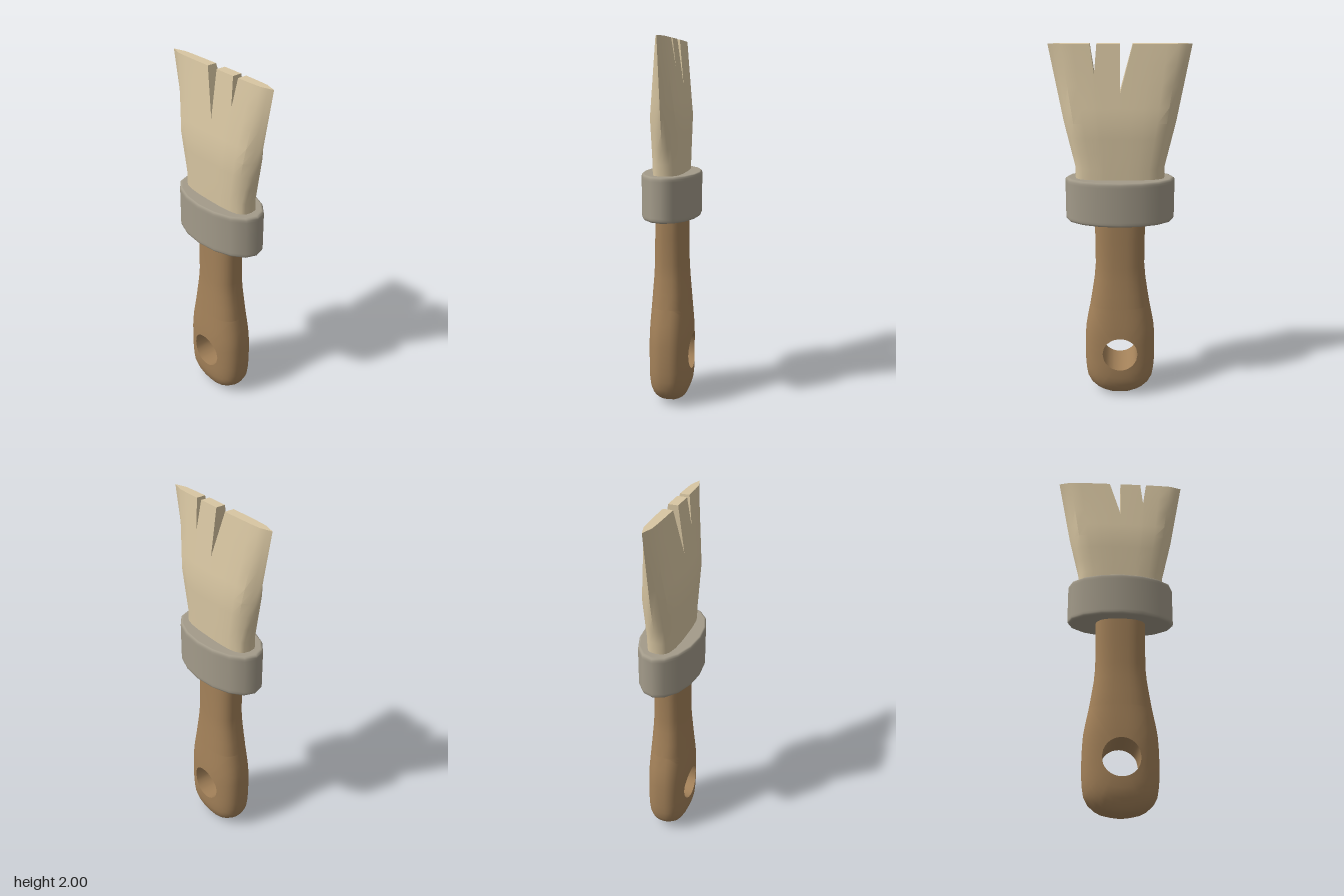
import * as THREE from 'three';
import { mergeVertices, toCreasedNormals } from 'three/addons/utils/BufferGeometryUtils.js';

const lerp = THREE.MathUtils.lerp;

// Piecewise-linear lookup: rows of [y, halfWidth, halfDepth]
function sample(table, y, col) {
  let i = 1;
  while (i < table.length - 1 && table[i][0] < y) i++;
  const a = table[i - 1], b = table[i];
  const t = THREE.MathUtils.clamp((y - a[0]) / (b[0] - a[0]), 0, 1);
  return lerp(a[col], b[col], t);
}

const superellipse = (u, n) => Math.pow(Math.max(0, 1 - Math.pow(Math.min(1, Math.abs(u)), n)), 1 / n);

// Collects quads and turns them into a geometry
class Surface {
  constructor() { this.p = []; }
  tri(a, b, c) { this.p.push(...a, ...b, ...c); }
  quad(a, b, c, d) { this.tri(a, b, c); this.tri(a, c, d); }
  // Quad given on the front, plus its mirror image on the back
  both(a, b, c, d) {
    this.quad(a, b, c, d);
    const m = (v) => [v[0], v[1], -v[2]];
    this.quad(m(d), m(c), m(b), m(a));
  }
  geometry() {
    const g = new THREE.BufferGeometry();
    g.setAttribute('position', new THREE.Float32BufferAttribute(this.p, 3));
    return g;
  }
  smooth() {
    const g = mergeVertices(this.geometry(), 1e-4);
    g.computeVertexNormals();
    return g;
  }
}

// ---- Handle: swollen grip with a round hanging hole ----
const GRIP = [
  [0, 0, 0.03], [0.006, 0.05, 0.055], [0.015, 0.1, 0.072], [0.03, 0.13, 0.085], [0.06, 0.165, 0.1],
  [0.1, 0.187, 0.113], [0.15, 0.195, 0.118], [0.2, 0.199, 0.119], [0.28, 0.2, 0.119], [0.36, 0.198, 0.119],
  [0.42, 0.194, 0.117], [0.48, 0.184, 0.113], [0.56, 0.168, 0.107], [0.64, 0.155, 0.101],
  [0.72, 0.143, 0.095], [0.8, 0.136, 0.091], [0.95, 0.137, 0.089], [1.1, 0.139, 0.088],
];
const POWER = 2.5, SPLIT = 0.56, HOLE_Y = 0.28, HOLE_R = 0.1;

function gripPoint(x, y) {
  const w = sample(GRIP, y, 1);
  const u = w > 1e-5 ? x / w : (Math.abs(x) < 1e-5 ? 0 : 1);
  return [x, y, sample(GRIP, y, 2) * superellipse(u, POWER)];
}

// Half cross-section offsets from +1 to -1, crowded toward the rounded sides
const ACROSS = Array.from({ length: 17 }, (_, i) => {
  const c = Math.cos((i / 16) * Math.PI);
  return Math.sign(c) * Math.pow(Math.abs(c), 2 / POWER);
});

function buildHandle(material) {
  const group = new THREE.Group();
  group.name = 'handle';
  const body = new Surface();

  // Upper neck, lofted section by section
  const upper = GRIP.filter((r) => r[0] >= SPLIT);
  for (let i = 0; i < upper.length - 1; i++) {
    const [y0, w0] = upper[i], [y1, w1] = upper[i + 1];
    for (let j = 0; j < ACROSS.length - 1; j++) {
      const a = ACROSS[j], b = ACROSS[j + 1];
      body.both(gripPoint(b * w0, y0), gripPoint(a * w0, y0), gripPoint(a * w1, y1), gripPoint(b * w1, y1));
    }
  }

  // Lower grip, fanned in rings from the hole rim to the outline
  const side = GRIP.filter((r) => r[0] < SPLIT);
  const topW = sample(GRIP, SPLIT, 1);
  const outline = [
    ...side.map(([y, w]) => [w, y]),
    ...ACROSS.map((u) => [u * topW, SPLIT]),
    ...side.slice(1).reverse().map(([y, w]) => [-w, y]),
  ];
  const rim = outline.map(([x, y]) => {
    const a = Math.atan2(y - HOLE_Y, x);
    return [HOLE_R * Math.cos(a), HOLE_Y + HOLE_R * Math.sin(a)];
  });
  const RINGS = 10;
  const at = (i, r) => {
    const t = Math.sin((r / RINGS) * Math.PI / 2);
    return gripPoint(lerp(rim[i][0], outline[i][0], t), lerp(rim[i][1], outline[i][1], t));
  };
  const wall = new Surface();
  for (let i = 0; i < outline.length; i++) {
    const k = (i + 1) % outline.length;
    for (let r = 0; r < RINGS; r++) body.both(at(i, r), at(i, r + 1), at(k, r + 1), at(k, r));
    const a = at(i, 0), b = at(k, 0);
    wall.quad(a, b, [b[0], b[1], -b[2]], [a[0], a[1], -a[2]]);
  }
  // Close the thin sole under the grip
  const sole = side.slice(0, 2).map(([y, w]) => [w, y]);
  const s0 = gripPoint(0, sole[0][1]);
  const back = [s0[0], s0[1], -s0[2]];
  const [sx, sy] = sole[1];
  body.tri(s0, back, [sx, sy, 0]);
  body.tri(back, s0, [-sx, sy, 0]);

  const grip = new THREE.Mesh(body.smooth(), material);
  grip.name = 'grip';
  const hole = new THREE.Mesh(wall.smooth(), material);
  hole.name = 'hangingHole';
  group.add(grip, hole);
  return group;
}

// ---- Ferrule: sixteen-sided oval band with softened rims ----
function buildFerrule(material) {
  const profile = [
    [0, 1.06], [0.275, 1.06], [0.283, 1.06], [0.291, 1.064], [0.295, 1.073], [0.295, 1.085],
    [0.295, 1.275], [0.295, 1.287], [0.291, 1.296], [0.283, 1.3], [0.275, 1.3], [0, 1.3],
  ].map(([x, y]) => new THREE.Vector2(x, y));
  const g = new THREE.LatheGeometry(profile, 16);
  g.scale(1, 1, 0.157 / 0.295);
  const mesh = new THREE.Mesh(g, material);
  mesh.name = 'ferrule';
  return mesh;
}

// ---- Bristles: flared wedge with two notches in the tip ----
const TUFT = [[1.25, 0.24, 0.079], [1.36, 0.24, 0.081], [1.6, 0.296, 0.083], [2, 0.37, 0.026]];

function bristlePoint(u, y) {
  const a = Math.abs(u), edge = 0.82;
  let g = superellipse(u, 3.2);
  if (a > edge) {
    const sharp = superellipse(edge, 3.2) * (1 - a) / (1 - edge);
    g = lerp(g, sharp, THREE.MathUtils.clamp((y - 1.3) / 0.4, 0, 1));
  }
  return [u * sample(TUFT, y, 1), y, sample(TUFT, y, 2) * g];
}

function buildBristles(material) {
  // Columns across the tuft: [relative x, top height]
  const columns = [
    [-1, 2], [-0.975, 2], [-0.92, 2], [-0.82, 2], [-0.65, 2], [-0.4, 2], [-0.176, 2], [0, 1.755], [0.001, 2],
    [0.17, 2], [0.324, 2], [0.389, 1.85], [0.419, 2], [0.65, 2], [0.82, 2], [0.92, 2], [0.975, 2], [1, 2],
  ];
  const low = [1.25, 1.36, 1.44, 1.52, 1.6, 1.68];
  const STEPS = 3;
  const column = ([u, top]) => {
    const ys = [...low];
    for (let s = 1; s <= STEPS; s++) ys.push(lerp(1.68, top, s / STEPS));
    return ys.map((y) => bristlePoint(u, y));
  };
  const tuft = new Surface();
  for (let i = 0; i < columns.length - 1; i++) {
    const a = column(columns[i]), b = column(columns[i + 1]);
    for (let r = 0; r < a.length - 1; r++) tuft.both(a[r], b[r], b[r + 1], a[r + 1]);
    // Tip and notch walls
    const p = a[a.length - 1], q = b[b.length - 1];
    tuft.quad(p, q, [q[0], q[1], -q[2]], [p[0], p[1], -p[2]]);
  }
  const mesh = new THREE.Mesh(toCreasedNormals(tuft.geometry(), 0.6), material);
  mesh.name = 'bristles';
  return mesh;
}

export function createModel() {
  const make = (name, color) => {
    const m = new THREE.MeshStandardMaterial({ color });
    m.name = name;
    return m;
  };
  const model = new THREE.Group();
  model.name = 'paintbrush';
  model.add(
    buildHandle(make('brown wood', 0xa38159)),
    buildFerrule(make('warm grey metal', 0xa39b8a)),
    buildBristles(make('cream bristle', 0xd8c6a2)),
  );
  return model;
}
